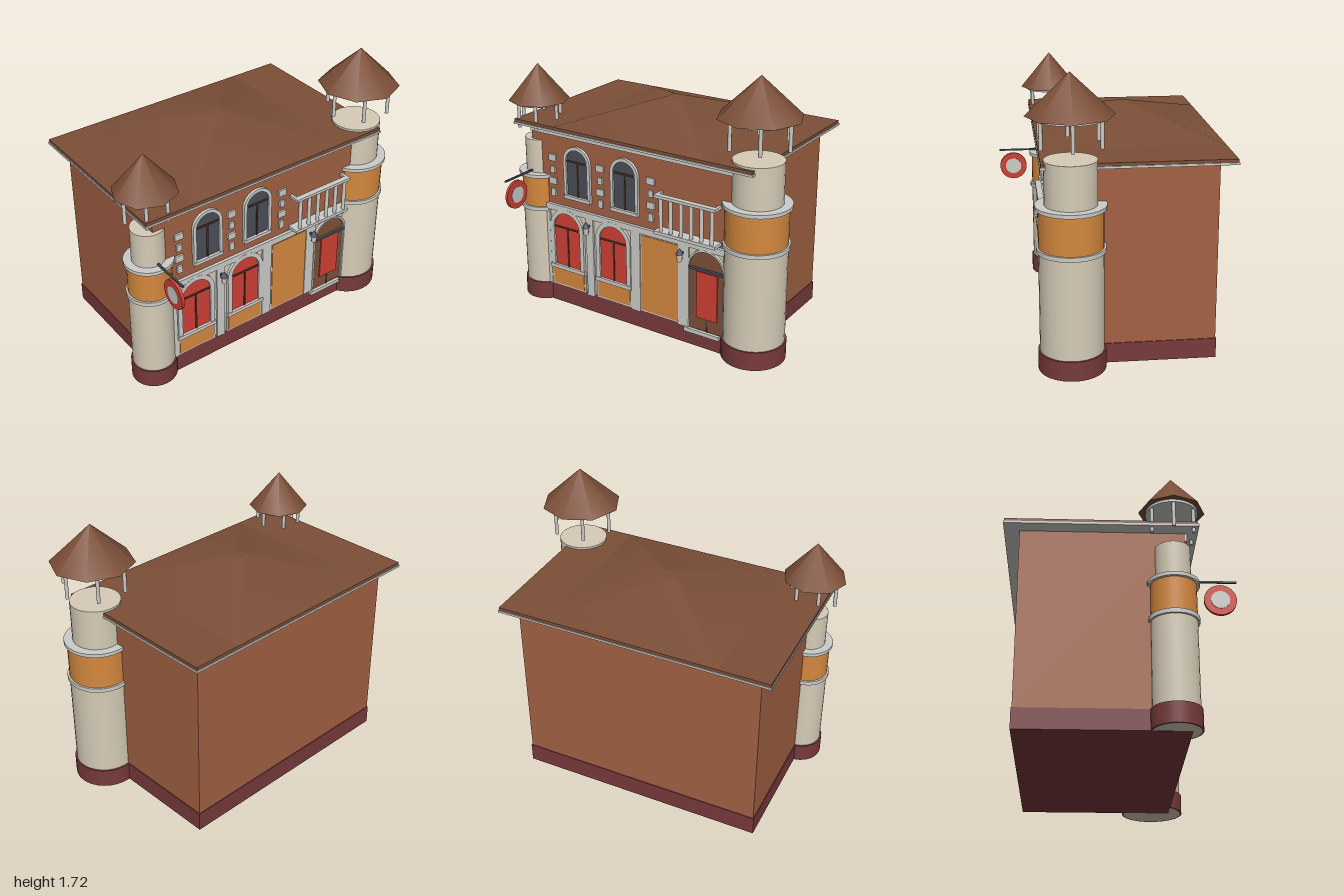
import * as THREE from 'three';

const mat = (name, color) => {
  const m = new THREE.MeshStandardMaterial({ color });
  m.name = name;
  return m;
};

export function createModel() {
  const M = {
    wall: mat('brick brown', 0xa26143),
    base: mat('maroon', 0x783a3b),
    cream: mat('cream', 0xd6ccb7),
    orange: mat('orange', 0xd4883e),
    trim: mat('light grey', 0xcccdc9),
    red: mat('red', 0xd04034),
    roof: mat('roof brown', 0x7c4f38),
    slate: mat('slate', 0x4a4e56),
    dark: mat('dark brown', 0x54382b),
  };
  const root = new THREE.Group();
  root.name = 'cornerBuilding';
  const WALL = 0.37; // z of the main facade

  const add = (name, geo, m, parent = root) => {
    const mesh = new THREE.Mesh(geo, m);
    mesh.name = name;
    parent.add(mesh);
    return mesh;
  };
  // Box given by its lower and upper corners
  const box = (name, m, x0, x1, y0, y1, z0, z1, parent) => {
    const mesh = add(name, new THREE.BoxGeometry(x1 - x0, y1 - y0, z1 - z0), m, parent);
    mesh.position.set((x0 + x1) / 2, (y0 + y1) / 2, (z0 + z1) / 2);
    return mesh;
  };
  // Upright cylinder or cone from y0 to y1
  const cyl = (name, m, r0, r1, x, z, y0, y1, seg = 32, parent) => {
    const mesh = add(name, new THREE.CylinderGeometry(r1, r0, y1 - y0, seg), m, parent);
    mesh.position.set(x, (y0 + y1) / 2, z);
    return mesh;
  };
  // Round-topped outline: half width w, from y0 to the spring line
  const archPath = (P, x, w, y0, spring) => {
    const p = new P();
    p.moveTo(x - w, y0);
    p.lineTo(x + w, y0);
    p.lineTo(x + w, spring);
    p.absarc(x, spring, w, 0, Math.PI, false);
    p.lineTo(x - w, y0);
    return p;
  };
  const extrude = (name, m, shape, z0, z1, parent) => {
    const geo = new THREE.ExtrudeGeometry(shape, { depth: z1 - z0, bevelEnabled: false, curveSegments: 16 });
    add(name, geo, m, parent).position.z = z0;
  };
  // Arched window or door: pane, frame and crossing bars
  const archWindow = (name, pane, x, w, y0, spring, border, z) => {
    const g = new THREE.Group();
    g.name = name;
    root.add(g);
    extrude('pane', pane, archPath(THREE.Shape, x, w, y0, spring), z, z + 0.006, g);
    const frame = archPath(THREE.Shape, x, w + border, y0, spring);
    frame.holes.push(archPath(THREE.Path, x, w, y0, spring));
    extrude('frame', M.trim, frame, z, z + 0.018, g);
    box('transom', M.dark, x - w, x + w, spring - 0.005, spring + 0.005, z + 0.004, z + 0.013, g);
    return g;
  };

  // Main block
  box('plinth', M.base, -0.825, 0.725, 0, 0.12, -0.57, 0.38);
  box('walls', M.wall, -0.82, 0.72, 0.12, 1.19, -0.565, WALL);
  box('cornice', M.trim, -0.82, 0.65, 1.145, 1.19, WALL, WALL + 0.012);

  // Roof: eaves with a low square hip on top
  box('eavesTrim', M.trim, -0.905, 0.805, 1.19, 1.203, -0.653, 0.443);
  box('eaves', M.roof, -0.9, 0.8, 1.203, 1.222, -0.648, 0.438);
  cyl('hipRoof', M.roof, 0.764, 0.052, -0.05, -0.105, 1.222, 1.378, 4).rotation.y = Math.PI / 4;

  // Round towers with floating pointed roofs carried on posts
  const tower = (name, x, z, t) => {
    const g = new THREE.Group();
    g.name = name;
    root.add(g);
    const part = (n, m, r0, r1, y0, y1, seg = 32) => cyl(n, m, r0, r1, x, z, y0, y1, seg, g);
    const r = t.r;
    part('towerBase', M.base, r + 0.01, r + 0.01, 0.002, 0.12);
    part('shaft', M.cream, r, r, 0.001, t.band[0]);
    part('colourBand', M.orange, r, r, t.band[0], t.band[1]);
    part('lowerRing', M.trim, r + 0.012, r + 0.012, t.band[0] - 0.026, t.band[0]);
    part('upperRing', M.trim, r + 0.017, r + 0.017, t.band[1], t.band[1] + 0.022);
    part('turret', M.cream, t.top, t.top, t.band[1], t.topY);
    part('roofPlate', M.trim, t.plate, t.plate, t.eave - 0.016, t.eave + 0.001);
    part('pointedRoof', M.roof, t.roofR, 0, t.eave, t.apex, 8);
    for (let i = 0; i < 6; i++) {
      const a = (i * Math.PI) / 3;
      cyl('roofPost', M.trim, 0.011, 0.011, x + Math.cos(a) * t.post, z + Math.sin(a) * t.post,
        t.eave - 0.166, t.eave - 0.012, 10, g);
    }
  };
  tower('leftTower', 0.75, 0.273, {
    r: 0.185, band: [0.738, 0.96], top: 0.15, topY: 1.235,
    plate: 0.2, post: 0.19, eave: 1.48, roofR: 0.248, apex: 1.715 });
  tower('rightTower', -0.81, 0.297, {
    r: 0.13, band: [0.652, 0.85], top: 0.1, topY: 1.09,
    plate: 0.15, post: 0.136, eave: 1.33, roofR: 0.19, apex: 1.56 });

  // Ground floor facade: cream field, grey band and pilasters
  const F = WALL + 0.003;
  box('groundFloorField', M.cream, -0.71, 0.64, 0.12, 0.65, WALL - 0.01, F);
  box('stringCourse', M.trim, -0.71, 0.62, 0.645, 0.685, WALL, WALL + 0.02);
  for (const [a, b] of [[-0.72, -0.69], [-0.4, -0.345], [-0.055, 0.012], [0.29, 0.362]])
    box('pilaster', M.trim, a, b, 0.115, 0.65, WALL, WALL + 0.016);

  // Ground floor windows with panels underneath
  for (const x of [-0.553, -0.19]) {
    const g = archWindow('groundWindow', M.red, x, 0.102, 0.265, 0.535, 0.03, F);
    box('mullion', M.dark, x - 0.005, x + 0.005, 0.265, 0.535, F + 0.004, F + 0.012, g);
    box('sill', M.trim, x - 0.137, x + 0.137, 0.243, 0.268, WALL, WALL + 0.026, g);
    box('apronFrame', M.trim, x - 0.137, x + 0.137, 0.12, 0.25, WALL, WALL + 0.012, g);
    box('apronPanel', M.orange, x - 0.124, x + 0.124, 0.13, 0.24, WALL + 0.01, WALL + 0.016, g);
  }
  box('wallPanelFrame', M.trim, 0.01, 0.3, 0.12, 0.65, WALL, WALL + 0.01);
  box('wallPanel', M.orange, 0.022, 0.287, 0.13, 0.635, WALL + 0.009, WALL + 0.014);

  // Doorway with red door panel and step
  const door = archWindow('doorway', M.roof, 0.485, 0.118, 0.115, 0.522, 0.012, F);
  box('doorBar', M.slate, 0.367, 0.605, 0.513, 0.528, F, F + 0.022, door);
  box('doorPanel', M.red, 0.42, 0.562, 0.2, 0.505, F + 0.005, F + 0.014, door);
  box('doorSeam', M.dark, 0.485, 0.493, 0.115, 0.2, F + 0.004, F + 0.01, door);
  box('step', M.trim, 0.34, 0.585, 0.09, 0.116, WALL, 0.4, door);

  // Upper windows
  for (const x of [-0.46, -0.1]) {
    const g = archWindow('upperWindow', M.slate, x, 0.081, 0.765, 0.997, 0.021, WALL);
    box('mullion', M.dark, x - 0.005, x + 0.005, 0.765, 0.997, WALL + 0.004, WALL + 0.012, g);
    box('sill', M.trim, x - 0.102, x + 0.102, 0.748, 0.77, WALL, WALL + 0.024, g);
  }

  // Alternating wide and narrow stone blocks
  for (const x of [-0.655, -0.285, 0.09])
    [0.995, 0.915, 0.84, 0.763].forEach((y, i) => {
      const w = i % 2 ? 0.017 : 0.028, h = i === 3 ? 0.025 : 0.021;
      box('stoneBlock', M.trim, x - w, x + w, y - h, y + h, WALL, WALL + 0.012);
    });

  // Balcony
  const balcony = new THREE.Group();
  balcony.name = 'balcony';
  root.add(balcony);
  box('balconyFloor', M.trim, 0.155, 0.575, 0.7, 0.72, WALL, 0.445, balcony);
  box('topRail', M.trim, 0.155, 0.575, 0.93, 0.948, 0.41, 0.445, balcony);
  for (const x of [0.155, 0.557])
    box('sideRail', M.trim, x, x + 0.018, 0.93, 0.948, WALL, 0.41, balcony);
  for (let i = 0; i < 6; i++)
    cyl('baluster', M.trim, 0.012, 0.012, 0.195 + i * 0.07, 0.427, 0.72, 0.93, 10, balcony);

  // Wall lanterns
  for (const x of [-0.372, 0.322]) {
    const g = new THREE.Group();
    g.name = 'lantern';
    root.add(g);
    box('bracket', M.slate, x - 0.006, x + 0.006, 0.595, 0.607, WALL, 0.42, g);
    cyl('lamp', M.cream, 0.015, 0.021, x, 0.42, 0.555, 0.605, 8, g);
    cyl('lampCap', M.slate, 0.025, 0.003, x, 0.42, 0.603, 0.637, 8, g);
  }

  // Round hanging sign on a pole
  const sign = new THREE.Group();
  sign.name = 'hangingSign';
  sign.position.set(-0.81, 0.773, 0.555);
  root.add(sign);
  const disc = (name, m, r, t) => {
    add(name, new THREE.CylinderGeometry(r, r, t, 32), m, sign).rotation.z = Math.PI / 2;
  };
  disc('signRim', M.red, 0.091, 0.018);
  disc('signFace', M.trim, 0.053, 0.024);
  box('signPole', M.slate, -0.006, 0.006, 0.108, 0.118, -0.17, 0.093, sign);

  return root;
}
